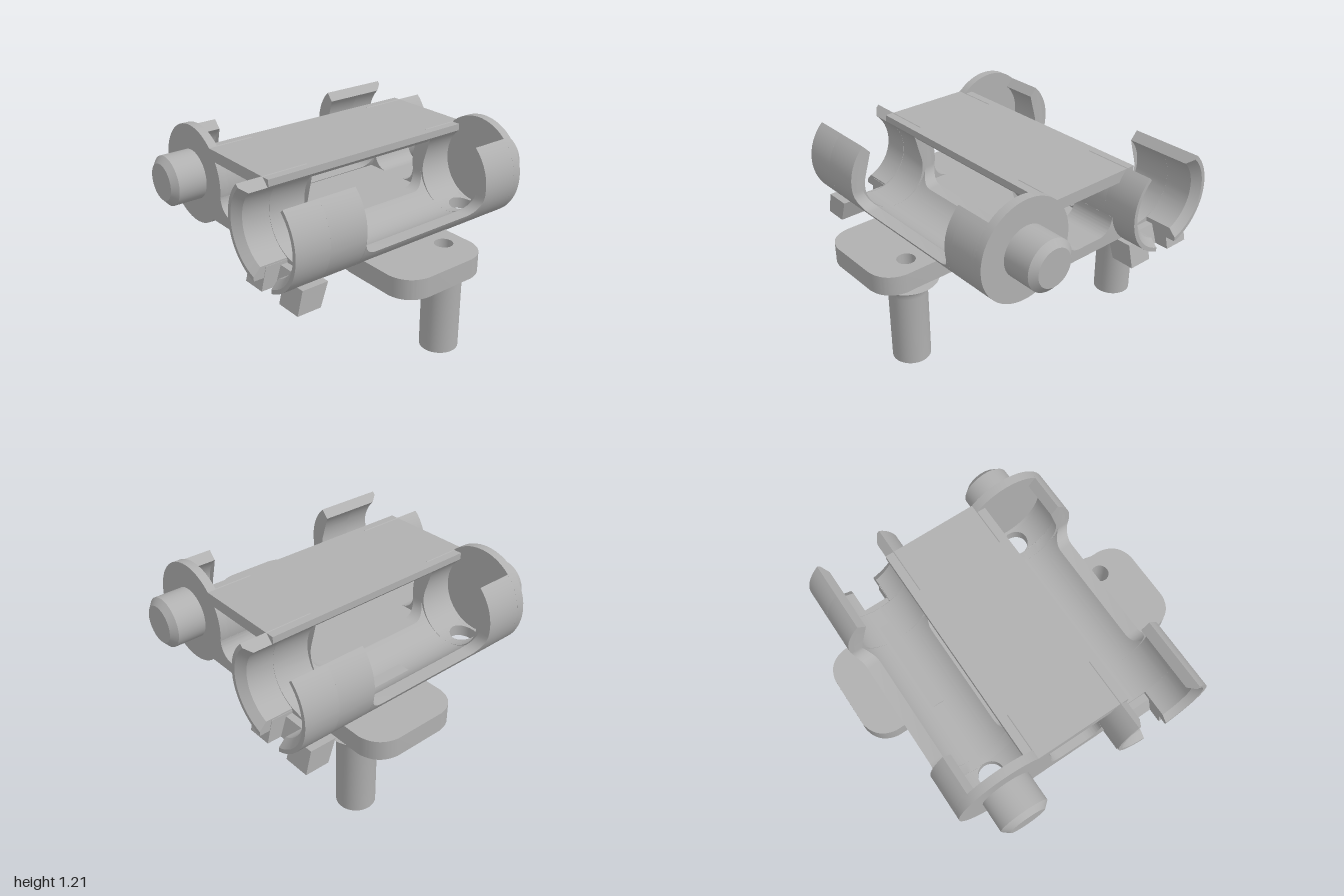
import * as THREE from 'three';
import { toCreasedNormals } from 'three/addons/utils/BufferGeometryUtils.js';

const RO = 0.31, RI = 0.24, CX = 0.44, CY = 0.895; // tube radii and axis
const LIP = THREE.MathUtils.degToRad(47.5);

export function createModel() {
  const plastic = new THREE.MeshStandardMaterial({ color: 0xb0b0b0 });
  plastic.name = 'grey plastic';
  const model = new THREE.Group();
  model.name = 'twinCellHolder';

  const add = (parent, name, geo, x = 0, y = 0, z = 0) => {
    const m = new THREE.Mesh(toCreasedNormals(geo, 0.6), plastic);
    m.name = name;
    m.position.set(x, y, z);
    parent.add(m);
    return m;
  };
  const poly = (pts) => new THREE.Shape(pts.map(([x, y]) => new THREE.Vector2(x, y)));
  // prism along z between two planes
  const prism = (shape, z0, z1) =>
    new THREE.ExtrudeGeometry(shape, { depth: z1 - z0, bevelEnabled: false, curveSegments: 10 }).translate(0, 0, z0);
  // prism along x from a (z, y) outline
  const prismX = (pts, x0, x1) => prism(poly(pts.map(([z, y]) => [-z, y])), x0, x1).rotateY(Math.PI / 2);

  // Stations along the tube: z, height of the wall cut (null = lip),
  // half width of the floor opening, bore radius
  const stations = [];
  const put = (z, cut = null, gap = 0, ri = RI) => stations.push({ z, cut, gap, ri });
  put(-0.7);
  for (let i = 0; i <= 16; i++) {
    const t = Math.PI * i / 16;
    put(-0.59 - 0.08 * Math.cos(t), null, 0.08 * Math.sin(t));
  }
  put(-0.45);
  for (const s of [-1, 1]) {
    for (let i = 0; i <= 6; i++) {
      const t = (s < 0 ? i : 6 - i) / 6 * Math.PI / 2;
      put(s * (0.35 + 0.1 * Math.cos(t)), 0.84 - 0.1 * Math.sin(t));
    }
  }
  put(0.45);
  put(0.69);
  put(0.69, null, 0.083);
  put(0.865, null, 0.083);
  put(0.91, null, 0.083, 0.285);

  // One half of the open tube, lofted through the stations
  const halfTube = (side) => {
    const N = 20, pos = [];
    const rings = stations.map(({ z, cut, gap, ri }) => {
      const arc = (r) => {
        const top = cut === null ? LIP : Math.asin((cut - CY) / r);
        const low = -Math.PI / 2 + Math.asin(gap / r);
        const [a, b] = side > 0 ? [low, top] : [Math.PI - top, Math.PI - low];
        return Array.from({ length: N + 1 }, (_, i) => {
          const t = a + (b - a) * i / N;
          return [CX + r * Math.cos(t), CY + r * Math.sin(t), z];
        });
      };
      return [...arc(RO), ...arc(ri).reverse()];
    });
    const quad = (a, b, c, d) => pos.push(...a, ...b, ...c, ...a, ...c, ...d);
    const M = 2 * N + 2;
    for (let k = 0; k < rings.length - 1; k++) {
      for (let i = 0; i < M; i++) {
        const j = (i + 1) % M;
        quad(rings[k][i], rings[k][j], rings[k + 1][j], rings[k + 1][i]);
      }
    }
    const first = rings[0], last = rings[rings.length - 1];
    for (let i = 0; i < N; i++) {
      quad(last[i], last[i + 1], last[M - 2 - i], last[M - 1 - i]);
      quad(first[i + 1], first[i], first[M - 1 - i], first[M - 2 - i]);
    }
    const g = new THREE.BufferGeometry();
    g.setAttribute('position', new THREE.Float32BufferAttribute(pos, 3));
    return g;
  };

  // Cell tube with closed end, boss and clip blocks
  const makeTube = (name) => {
    const g = new THREE.Group();
    g.name = name;
    add(g, 'tubeOuterWall', halfTube(1));
    add(g, 'tubeInnerWall', halfTube(-1));
    add(g, 'endCap', new THREE.CylinderGeometry(RO, RO, 0.055, 64).rotateX(Math.PI / 2), CX, CY, -0.7175);
    const boss = [[0, 0.73], [0.155, 0.73], [0.155, 0.925], [0.115, 0.96], [0, 0.96]];
    add(g, 'endBoss', new THREE.LatheGeometry(boss.map(([r, h]) => new THREE.Vector2(r, h)), 48)
      .rotateX(-Math.PI / 2), CX, CY, 0);
    const block = [[0.865, 0.52], [0.83, 0.66], [0.665, 0.66], [0.715, 0.52]];
    for (const [x0, x1] of [[0.205, 0.36], [0.525, 0.69]]) add(g, 'clipBlock', prismX(block, x0, x1));
    add(g, 'clipWeb', prismX([[0.775, 0.52], [0.735, 0.64], [0.675, 0.64], [0.715, 0.52]], 0.35, 0.53));
    // fillets where the tube meets the floor
    const fillet = new THREE.Shape();
    fillet.moveTo(0.035, 0.73);
    fillet.lineTo(0.2, 0.73);
    fillet.lineTo(0.2, 0.84);
    fillet.lineTo(0.135, 0.84);
    fillet.absarc(0.035, 0.835, 0.1, 0, -Math.PI / 2, true);
    for (const [z0, z1] of [[-0.745, -0.45], [0.45, 0.745]]) add(g, 'floorFillet', prism(fillet, z0, z1));
    model.add(g);
    return g;
  };
  makeTube('leftTube');
  const other = makeTube('rightTube');
  other.rotation.y = Math.PI;
  other.position.x = -0.09;

  // Plates joining the tubes
  const half = [[0.257, 1.05], [0.285, 1.078], [0.285, 1.12]];
  const mirrored = half.map(([x, y]) => [-0.09 - x, y]).reverse();
  add(model, 'topPlate', prism(poly([...half, ...mirrored]), -0.745, 0.745));
  add(model, 'floorPlate', new THREE.BoxGeometry(0.56, 0.07, 1.49), -0.045, 0.7, 0);

  // Mounting flange with rounded corners, underside wedge and hollow leg
  const makeMount = (name, s, z0, z1, legX, legZ) => {
    const g = new THREE.Group();
    g.name = name;
    const inX = 0.52, r = 0.15;
    const tabShape = new THREE.Shape();
    // outline in x and -z, drawn on the +x side and mirrored by s
    const corners = (x) => s * x;
    tabShape.moveTo(corners(inX), -z1);
    tabShape.lineTo(corners(1 - r), -z1);
    tabShape.quadraticCurveTo(corners(1 - r * 0.12), -z1 + r * 0.12, corners(1), -z1 + r);
    tabShape.lineTo(corners(1), -z0 - r);
    tabShape.quadraticCurveTo(corners(1 - r * 0.12), -z0 - r * 0.12, corners(1 - r), -z0);
    tabShape.lineTo(corners(inX), -z0);
    const hole = new THREE.Path();
    hole.absarc(legX, -legZ, 0.055, 0, Math.PI * 2, true);
    tabShape.holes.push(hole);
    add(g, 'flange', new THREE.ExtrudeGeometry(tabShape, { depth: 0.12, bevelEnabled: false, curveSegments: 24 })
      .rotateX(-Math.PI / 2), 0, 0.545, 0);
    const shift = s > 0 ? 0 : -0.09;
    const wedge = [[inX, 0.545], [inX, 0.65], [0.25, 0.65], [0.25, 0.625], [0.4, 0.565]];
    add(g, 'flangeWedge', prism(poly(wedge.map(([x, y]) => [s * x + (x < inX ? shift : 0), y])), z0, z1));
    const leg = [[0.055, 0.55], [0.055, 0.04], [0.085, 0], [0.115, 0], [0.115, 0.46]];
    for (let i = 1; i <= 6; i++) {
      const t = i / 6 * Math.PI / 2;
      leg.push([0.115 + 0.07 * (1 - Math.cos(t)), 0.46 + 0.085 * Math.sin(t)]);
    }
    leg.push([0.055, 0.55]);
    add(g, 'leg', new THREE.LatheGeometry(leg.map(([x, y]) => new THREE.Vector2(x, y)), 40), legX, 0, legZ);
    model.add(g);
  };
  makeMount('leftMount', 1, -0.235, 0.385, 0.765, -0.105);
  makeMount('rightMount', -1, -0.57, 0.05, -0.665, -0.41);

  return model;
}
